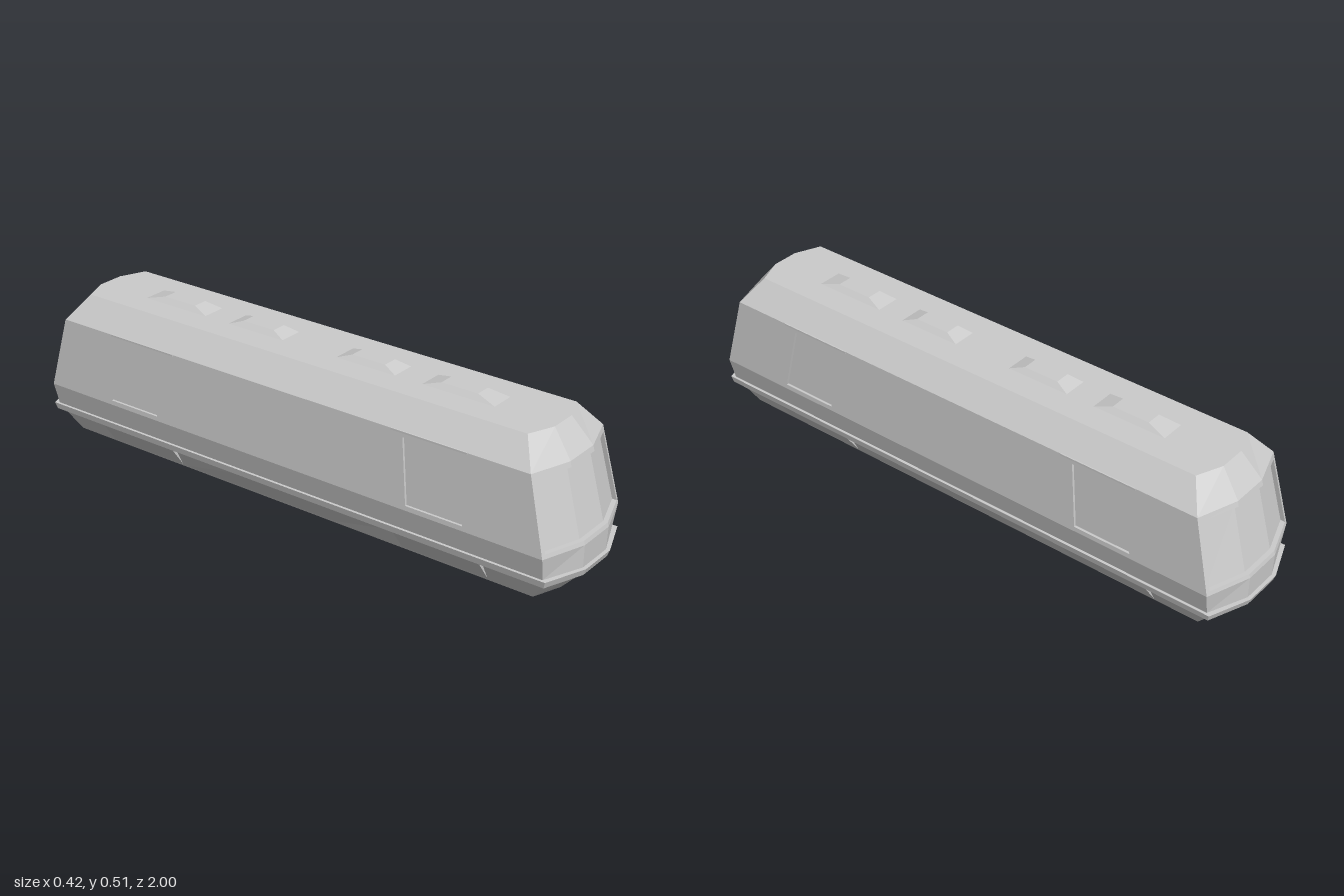
import * as THREE from 'three';

const lerp = THREE.MathUtils.lerp;
const material = new THREE.MeshStandardMaterial({ color: 0xcccccc, flatShading: true, side: THREE.DoubleSide });

function named(geometry, name) {
  const mesh = new THREE.Mesh(geometry, material);
  mesh.name = name;
  return mesh;
}

// Faceted mesh from quads given as four corner points
function fromQuads(quads, name) {
  const pos = [];
  for (const [a, b, c, d] of quads) pos.push(...a, ...b, ...c, ...a, ...c, ...d);
  const g = new THREE.BufferGeometry();
  g.setAttribute('position', new THREE.Float32BufferAttribute(pos, 3));
  g.computeVertexNormals();
  return named(g, name);
}

// Eight-sided plan outline with bowed ends
function ring([y, w, zc, zk, c]) {
  const front = [[-w, zk], [-c, zc], [c, zc], [w, zk]];
  const plan = [...front, ...front.map(([x, z]) => [-x, -z])];
  return plan.map(([x, z]) => [x, y, z]);
}

function loft(levels, name, capBottom, capTop) {
  const rings = levels.map(ring), quads = [];
  for (let k = 0; k + 1 < rings.length; k++) {
    const lo = rings[k], hi = rings[k + 1];
    for (let i = 0; i < 8; i++) {
      const j = (i + 1) % 8;
      quads.push([lo[i], lo[j], hi[j], hi[i]]);
    }
  }
  const cap = (r) => [[r[0], r[1], r[2], r[3]], [r[0], r[3], r[4], r[7]], [r[4], r[5], r[6], r[7]]];
  if (capTop) quads.push(...cap(rings[rings.length - 1]));
  if (capBottom) quads.push(...cap(rings[0]).map((q) => q.reverse()));
  return fromQuads(quads, name);
}

// Upper body between the waist and the eaves
const Y0 = 0.17, Y1 = 0.41;
const rise = (y) => (y - Y0) / (Y1 - Y0);
const wallX = (y) => lerp(0.21, 0.195, rise(y));

// End wall: a bowed grid whose middle cells are sunk as the windscreen
function makeEnd() {
  const rows = [Y0, 0.183, 0.393, Y1];
  const point = (i, r, depth) => {
    const y = rows[r], t = rise(y), w = wallX(y), c = lerp(0.066, 0.062, t);
    const x = [-w, -w + 0.012, -c, c, w - 0.012, w][i];
    const bow = Math.max(0, (Math.abs(x) - c) / (w - c));
    return [x, y, lerp(lerp(0.99, 0.925, t), lerp(0.94, 0.88, t), bow) - depth];
  };
  const frame = [], glass = [], D = 0.015;
  for (let r = 0; r < 3; r++) {
    for (let i = 0; i < 5; i++) {
      const sunk = r === 1 && i > 0 && i < 4, d = sunk ? D : 0;
      (sunk ? glass : frame).push([point(i, r, d), point(i + 1, r, d), point(i + 1, r + 1, d), point(i, r + 1, d)]);
    }
  }
  // Reveals round the windscreen
  for (let i = 1; i < 4; i++) {
    frame.push([point(i, 1, 0), point(i + 1, 1, 0), point(i + 1, 1, D), point(i, 1, D)]);
    frame.push([point(i, 2, D), point(i + 1, 2, D), point(i + 1, 2, 0), point(i, 2, 0)]);
  }
  frame.push([point(1, 1, 0), point(1, 1, D), point(1, 2, D), point(1, 2, 0)]);
  frame.push([point(4, 1, D), point(4, 1, 0), point(4, 2, 0), point(4, 2, D)]);
  return [fromQuads(frame, 'endFrame'), fromQuads(glass, 'windscreen')];
}

// Side wall drawn flat, then leaned onto the body side
function leanedShape(shape, inset, name) {
  const g = new THREE.ShapeGeometry(shape), p = g.attributes.position;
  for (let i = 0; i < p.count; i++) {
    const u = p.getX(i), y = p.getY(i);
    p.setXYZ(i, wallX(y) - inset, y, -u);
  }
  g.computeVertexNormals();
  return named(g, name);
}

function makeSide() {
  const parts = [], D = 0.008;
  const toShape = (pts) => new THREE.Shape(pts.map(([u, y]) => new THREE.Vector2(u, y)));
  const wall = toShape([[-0.94, Y0], [0.94, Y0], [0.88, Y1], [-0.88, Y1]]);
  for (const s of [1, -1]) {
    const pts = [[0.48, 0.185], [0.676, 0.185], [0.633, 0.393], [0.456, 0.393]].map(([u, y]) => [u * s, y]);
    if (s < 0) pts.reverse();
    wall.holes.push(toShape([...pts].reverse()));
    parts.push(leanedShape(toShape(pts), D, 'door'));
    const at = ([u, y], d) => [wallX(y) - d, y, -u];
    parts.push(fromQuads(pts.map((a, i) => {
      const b = pts[(i + 1) % 4];
      return [at(a, 0), at(b, 0), at(b, D), at(a, D)];
    }), 'doorReveal'));
    // Rain strip over the door
    const strip = named(new THREE.BoxGeometry(0.008, 0.006, 0.26), 'rainStrip');
    strip.position.set(0.194, 0.409, 0.545 * s);
    parts.push(strip);
  }
  parts.push(leanedShape(wall, 0, 'sideWall'));

  // Raised underbody panels: [z, top half-width]
  const IN = 0.183, OUT = 0.197, BASE = 0.145;
  const runs = [
    [[0.73, IN], [0.73, OUT], [0.43, OUT], [0.43, IN]],
    [[0.43, IN], [0.18, OUT], [-0.18, OUT], [-0.43, IN]],
    [[-0.43, IN], [-0.43, OUT], [-0.73, OUT], [-0.73, IN]],
  ];
  for (const run of runs) {
    const quads = [];
    for (let i = 0; i < 3; i++) {
      const [za, wa] = run[i], [zb, wb] = run[i + 1];
      quads.push([[BASE, 0.002, za], [BASE, 0.002, zb], [wb, 0.076, zb], [wa, 0.076, za]]);
    }
    parts.push(fromQuads(quads, 'underbodyPanel'));
  }
  return parts;
}

// Roof pod: low frustum
function makePod(z0, z1, flat0, flat1) {
  const rect = (y, w, a, b) => [[-w, y, b], [w, y, b], [w, y, a], [-w, y, a]];
  const lo = rect(0.489, 0.042, z0, z1), hi = rect(0.506, 0.025, flat0, flat1);
  const quads = lo.map((p, i) => [p, lo[(i + 1) % 4], hi[(i + 1) % 4], hi[i]]);
  return fromQuads([...quads, hi], 'roofPod');
}

export function createModel() {
  const model = new THREE.Group();
  model.name = 'railCar';

  // Levels: [height, half-width, end at middle, end at corner, half-width of middle facet]
  model.add(
    loft([[0, 0.145, 0.915, 0.88, 0.05], [0.076, 0.183, 0.985, 0.93, 0.064]], 'underbody', true, false),
    loft([
      [0.075, 0.183, 0.975, 0.925, 0.064], [0.075, 0.197, 0.992, 0.942, 0.066],
      [0.097, 0.202, 1, 0.948, 0.067], [0.097, 0.193, 0.985, 0.93, 0.065],
    ], 'bumperRim', false, false),
    loft([[0.097, 0.193, 0.988, 0.935, 0.064], [Y0, 0.21, 0.99, 0.94, 0.066]], 'lowerBody', false, false),
    loft([[Y1, 0.195, 0.925, 0.88, 0.062], [0.49, 0.13, 0.86, 0.825, 0.045]], 'roof', false, true),
  );

  // Both halves are the same, turned half round
  for (const [i, name] of ['front', 'back'].entries()) {
    const half = new THREE.Group();
    half.name = name + 'Half';
    half.add(...makeEnd(), ...makeSide());
    half.add(makePod(0.41, 0.665, 0.47, 0.595), makePod(0.1, 0.32, 0.15, 0.27));
    half.rotation.y = i * Math.PI;
    model.add(half);
  }
  return model;
}
